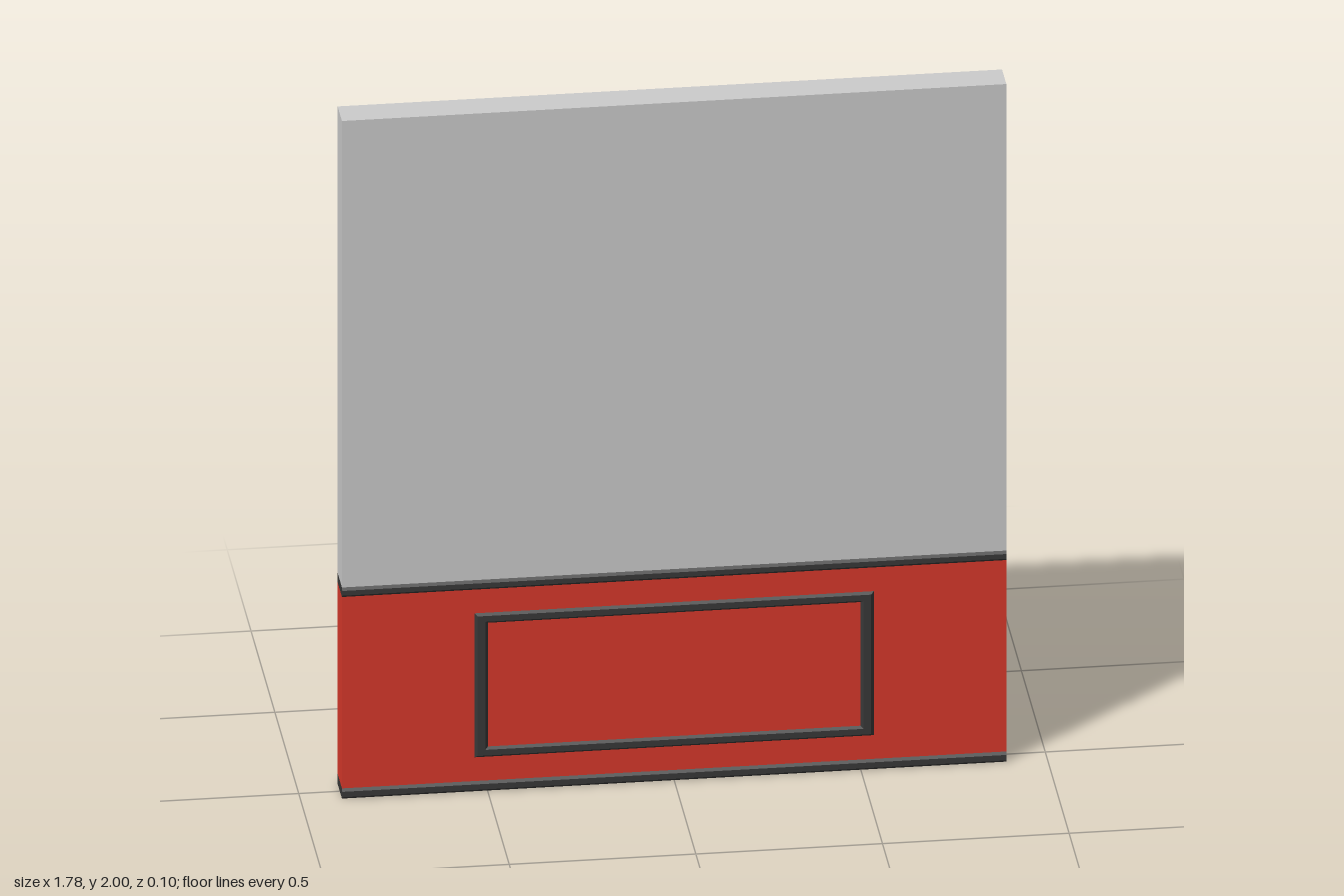
import * as THREE from 'three';

const WIDTH = 1.78, DEPTH = 0.09, PROUD = 0.052, CHAMFER = 0.007;

const grey = new THREE.MeshStandardMaterial({ color: 0xcccccc, flatShading: true });
const red = new THREE.MeshStandardMaterial({ color: 0xd8392b, flatShading: true });
const dark = new THREE.MeshStandardMaterial({ color: 0x383838, flatShading: true });

function add(group, name, geometry, material) {
  const mesh = new THREE.Mesh(geometry, material);
  mesh.name = name;
  group.add(mesh);
  return mesh;
}

// Full-width slab between two heights
function slab(y0, y1) {
  return new THREE.BoxGeometry(WIDTH, y1 - y0, DEPTH).translate(0, (y0 + y1) / 2, 0);
}

// Chamfered rail running through the wall, its section extruded along x
function rail(y0, y1) {
  const c = CHAMFER, z = PROUD;
  const section = new THREE.Shape([
    [-z + c, y0], [z - c, y0], [z, y0 + c], [z, y1 - c],
    [z - c, y1], [-z + c, y1], [-z, y1 - c], [-z, y0 + c],
  ].map(([a, b]) => new THREE.Vector2(a, b)));
  return new THREE.ExtrudeGeometry(section, { depth: WIDTH, bevelEnabled: false })
    .translate(0, 0, -WIDTH / 2).rotateY(Math.PI / 2);
}

// Mitred rectangular moulding: a raised section swept round four corners
function frame(halfW, y0, y1, sideWidth, barHeight) {
  const section = [[0, DEPTH / 2], [0.22, PROUD], [0.78, PROUD], [1, DEPTH / 2]];
  const corners = [[-1, 0], [1, 0], [1, 1], [-1, 1]];
  const point = (c, s) => {
    const [sx, top] = corners[c % 4];
    const [inset, z] = section[s];
    const y = top ? y1 - inset * barHeight : y0 + inset * barHeight;
    return [sx * (halfW - inset * sideWidth), y, z];
  };
  const positions = [];
  for (let c = 0; c < 4; c++) {
    for (let s = 0; s < section.length - 1; s++) {
      const a = point(c, s), b = point(c + 1, s);
      const d = point(c + 1, s + 1), e = point(c, s + 1);
      positions.push(...a, ...b, ...d, ...a, ...d, ...e);
    }
  }
  const geometry = new THREE.BufferGeometry();
  geometry.setAttribute('position', new THREE.Float32BufferAttribute(positions, 3));
  geometry.computeVertexNormals();
  return geometry;
}

export function createModel() {
  const model = new THREE.Group();
  model.name = 'wallPanel';

  // Wall: plain upper part over a coloured wainscot
  add(model, 'upperWall', slab(0.62, 2), grey);
  add(model, 'wainscot', slab(0.03, 0.595), red);

  // Skirting and chair rail
  add(model, 'skirtingRail', rail(0, 0.03), dark);
  add(model, 'chairRail', rail(0.595, 0.623), dark);

  // Decorative frame on both faces
  const moulding = frame(0.535, 0.1, 0.525, 0.036, 0.03);
  add(model, 'frontFrame', moulding, dark);
  add(model, 'backFrame', moulding, dark).rotation.y = Math.PI;

  return model;
}
